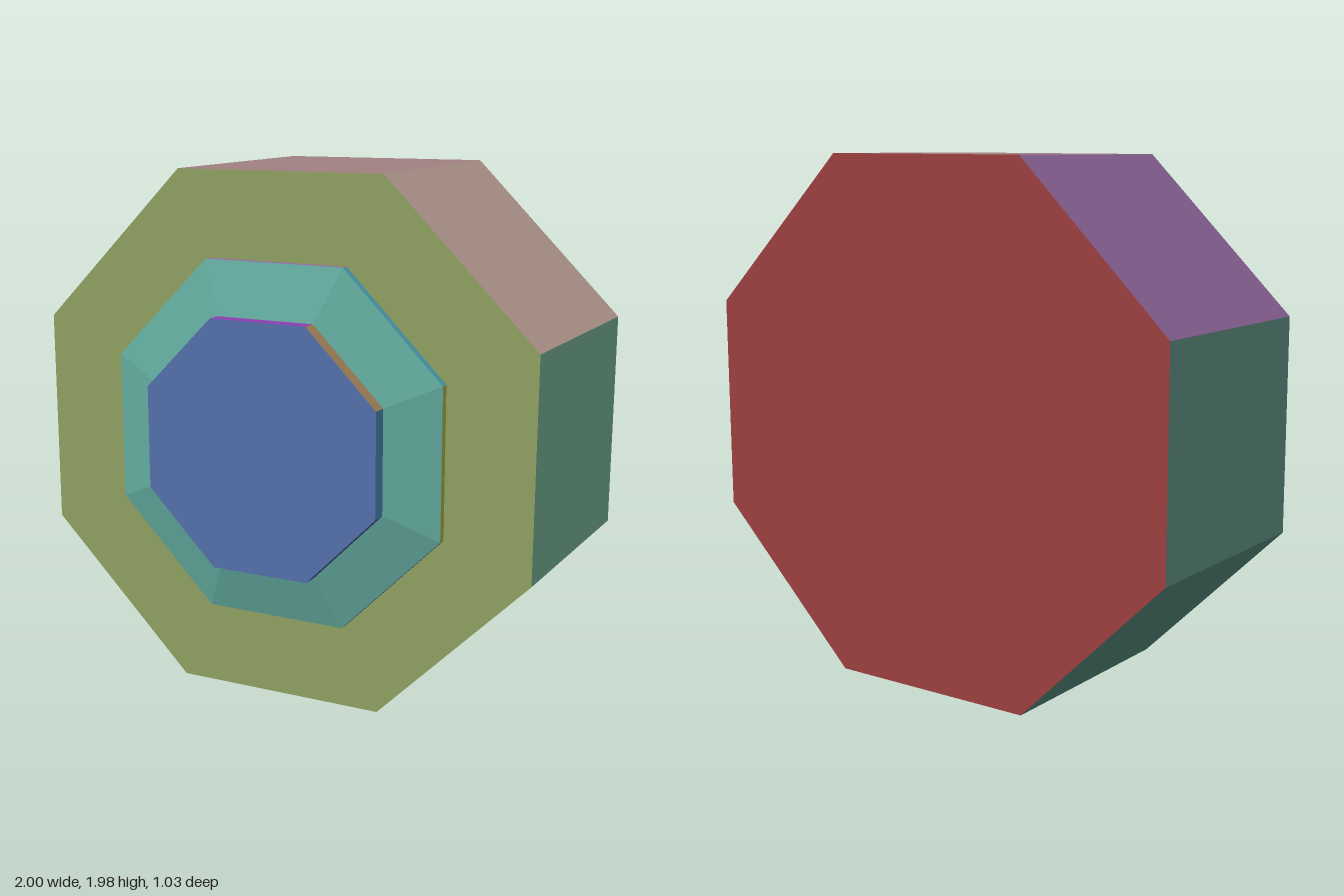
import * as THREE from 'three';

// Outlines run counter-clockwise seen from the front, starting at the lower right corner.
const HUB_Y = 0.99;
const outer = [[0.995, 0.59], [1, 1.405], [0.42, 1.98], [-0.41, 1.975],
  [-1, 1.39], [-1, 0.575], [-0.42, 0.003], [0.41, 0.008]];

// Octagon with flat half-width r and half-edge e.
const octagon = (r, e) => [[r, -e], [r, e], [e, r], [-e, r], [-r, e], [-r, -e], [-e, -r], [e, -r]]
  .map(([x, y]) => [x, y + HUB_Y]);

function makeMesh(name, geometry, color) {
  const mesh = new THREE.Mesh(geometry, new THREE.MeshStandardMaterial({ color, flatShading: true }));
  mesh.name = name;
  return mesh;
}

// Eight side panels joining a rear outline to a front outline, one colour each.
function sidePanels(name, rear, zRear, front, zFront, colors) {
  const group = new THREE.Group();
  group.name = name;
  rear.forEach((a, i) => {
    const j = (i + 1) % rear.length;
    const b = rear[j], c = front[j], d = front[i];
    const geometry = new THREE.BufferGeometry();
    geometry.setAttribute('position', new THREE.Float32BufferAttribute(
      [...a, zRear, ...b, zRear, ...c, zFront, ...d, zFront], 3));
    geometry.setIndex([0, 1, 2, 0, 2, 3]);
    geometry.computeVertexNormals();
    group.add(makeMesh(name + 'Panel', geometry, colors[i % colors.length]));
  });
  return group;
}

// Flat face closing an outline; the back one is turned to face -z.
function cap(name, outline, z, color, back = false) {
  const points = outline.map(([x, y]) => new THREE.Vector2(back ? -x : x, y));
  const geometry = new THREE.ShapeGeometry(new THREE.Shape(points));
  if (back) geometry.rotateY(Math.PI);
  geometry.translate(0, 0, z);
  return makeMesh(name, geometry, color);
}

export function createModel() {
  const model = new THREE.Group();
  model.name = 'octagonalButton';
  const ring = octagon(0.665, 0.28);
  const button = octagon(0.468, 0.194);

  // Thick octagonal body; colours go right, upper right, top, and on around
  model.add(
    sidePanels('body', outer, -0.517, outer, 0.37,
      [0x6fa58c, 0xb89e94, 0xa08080, 0x8a6496, 0x5d8d80, 0x4f8074, 0x6a4552, 0x77648a]),
    cap('bodyFront', outer, 0.37, 0x90a263),
    cap('bodyBack', outer, -0.517, 0x9c3e3e, true),
  );

  // Low rim and sloping collar
  model.add(
    sidePanels('rim', ring, 0.37, ring, 0.4,
      [0xa3a544, 0x4a9fb0, 0x9468a4, 0x7d8e95, 0x6a8a60, 0x8a5a60, 0x5a6a98, 0x3a4090]),
    sidePanels('collar', ring, 0.4, button, 0.46, [0x62aa9e]),
  );

  // Raised centre button
  model.add(
    sidePanels('button', button, 0.46, button, 0.517,
      [0x4480a8, 0xa8875c, 0x8c3eae, 0x4a55a0, 0x6a8a70, 0x8a6a58, 0x5a5a88, 0x40588a]),
    cap('buttonFace', button, 0.517, 0x5470ac),
  );
  return model;
}
